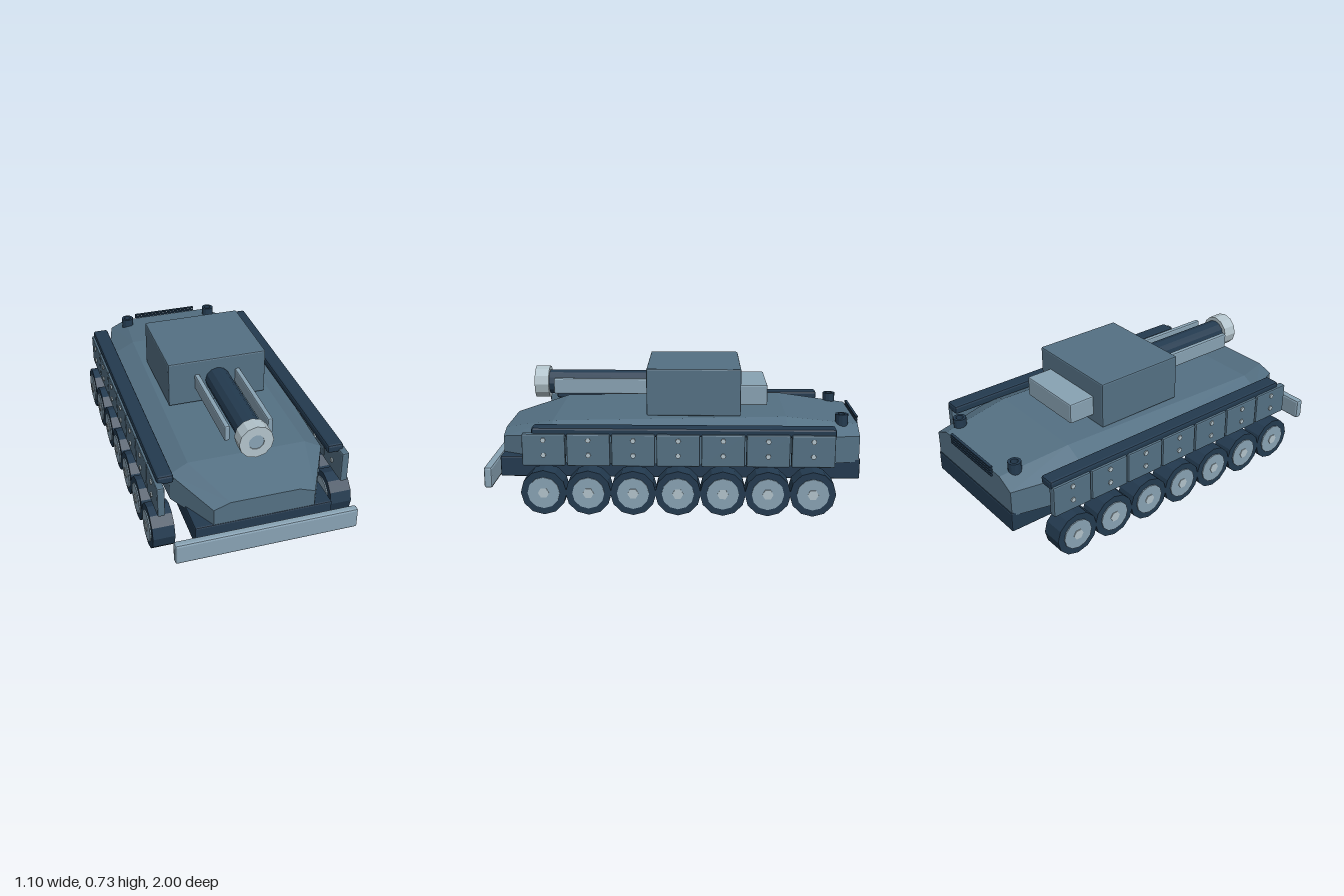
import * as THREE from 'three';
import { RoundedBoxGeometry } from 'three/addons/geometries/RoundedBoxGeometry.js';

const material = (name, color) => {
  const m = new THREE.MeshStandardMaterial({ color });
  m.name = name;
  return m;
};

// Give every face its own normal for a faceted look
function faceted(geo) {
  const g = geo.index ? geo.toNonIndexed() : geo;
  g.computeVertexNormals();
  return g;
}

// Hull from six-sided cross-sections: [z, bottomY, sideX, sideY, topX, topY]
function loft(sections) {
  const rings = sections.map(([z, yb, ws, ys, wt, yt]) => [
    [-ws, yb, z], [ws, yb, z], [ws, ys, z], [wt, yt, z], [-wt, yt, z], [-ws, ys, z],
  ]);
  const pos = [];
  const tri = (...pts) => pts.forEach((p) => pos.push(...p));
  for (let s = 0; s < rings.length - 1; s++) {
    const f = rings[s], b = rings[s + 1];
    for (let i = 0; i < 6; i++) {
      const j = (i + 1) % 6;
      tri(f[i], b[j], f[j]);
      tri(f[i], b[i], b[j]);
    }
  }
  const first = rings[0], last = rings[rings.length - 1];
  for (let i = 1; i < 5; i++) {
    tri(first[0], first[i], first[i + 1]);
    tri(last[0], last[i + 1], last[i]);
  }
  const g = new THREE.BufferGeometry();
  g.setAttribute('position', new THREE.Float32BufferAttribute(pos, 3));
  g.computeVertexNormals();
  return g;
}

export function createModel() {
  const model = new THREE.Group();
  model.name = 'tank';
  const armor = material('armor blue grey', 0x547083);
  const navy = material('dark navy', 0x233a4f);
  const steel = material('light steel', 0x88a2b3);
  const pale = material('pale steel', 0xb2c3cb);

  const add = (name, geo, mat, x = 0, y = 0, z = 0, parent = model) => {
    const m = new THREE.Mesh(faceted(geo), mat);
    m.name = name;
    m.position.set(x, y, z);
    parent.add(m);
    return m;
  };
  // Bevelled box given by its extents
  const box = (name, mat, [x0, x1], [y0, y1], [z0, z1], bevel = 0.008) =>
    add(name, new RoundedBoxGeometry(x1 - x0, y1 - y0, z1 - z0, 1, bevel), mat,
      (x0 + x1) / 2, (y0 + y1) / 2, (z0 + z1) / 2);
  const mirrored = (side, a, b) => (side > 0 ? [a, b] : [-b, -a]);
  const axleX = (r, len, sides) => new THREE.CylinderGeometry(r, r, len, sides).rotateZ(Math.PI / 2);
  const axleZ = (r, len, sides) => new THREE.CylinderGeometry(r, r, len, sides).rotateX(Math.PI / 2);
  // Open-ended tube with thick walls, along y
  const pipe = (rOut, rIn, len, sides) => new THREE.LatheGeometry(
    [[rIn, -len / 2], [rOut, -len / 2], [rOut, len / 2], [rIn, len / 2], [rIn, -len / 2]]
      .map(([r, y]) => new THREE.Vector2(r, y)), sides);

  // Hull
  add('upperHull', loft([
    [0.93, 0.245, 0.265, 0.35, 0.18, 0.38],
    [0.65, 0.245, 0.41, 0.40, 0.315, 0.452],
    [-0.6, 0.245, 0.45, 0.40, 0.30, 0.477],
    [-0.988, 0.245, 0.355, 0.385, 0.26, 0.43],
  ]), armor);
  box('lowerHull', navy, [-0.36, 0.36], [0.15, 0.263], [-0.994, 0.934]);
  box('bumper', steel, [-0.48, 0.48], [0.12, 0.235], [0.957, 1.0], 0.012);

  // Turret and rear stowage box
  box('turret', armor, [-0.275, 0.275], [0.47, 0.727], [-0.358, 0.15]);
  box('stowageBox', steel, [-0.195, 0.195], [0.512, 0.625], [-0.505, -0.35]);

  // Gun
  add('barrel', axleZ(0.068, 0.6, 12), navy, 0, 0.6, 0.43);
  add('muzzle', pipe(0.09, 0.041, 0.078, 12).rotateX(Math.PI / 2), pale, 0, 0.6, 0.744);
  add('bore', axleZ(0.042, 0.07, 12), steel, 0, 0.6, 0.744);

  const pitch = 0.2335;
  for (const side of [1, -1]) {
    box('gunRail', steel, mirrored(side, 0.1, 0.128), [0.556, 0.643], [0.14, 0.67], 0.008);
    box('fender', navy, mirrored(side, 0.41, 0.497), [0.41, 0.458], [-0.845, 0.738], 0.012);

    // Exhaust stack with dark opening
    add('exhaust', pipe(0.035, 0.02, 0.09, 12), navy, side * 0.265, 0.442, -0.9);

    for (let i = 0; i < 7; i++) {
      const z = 0.674 - i * pitch;

      // Road wheel
      const wheel = new THREE.Group();
      wheel.name = 'roadWheel';
      wheel.position.set(side * 0.482, 0.12, z);
      model.add(wheel);
      add('tyre', axleX(0.12, 0.116, 12), navy, 0, 0, 0, wheel);
      add('hub', axleX(0.084, 0.128, 12), steel, 0, 0, 0, wheel);
      add('hubCap', axleX(0.029, 0.136, 6), pale, 0, 0, 0, wheel);

      // Skirt panel with two rivets
      box('skirtPanel', armor, mirrored(side, 0.47, 0.51), [0.255, 0.428], [z - 0.113, z + 0.113]);
      for (const y of [0.315, 0.395])
        add('rivet', axleX(0.014, 0.054, 6), pale, side * 0.49, y, z);
    }
  }

  // Rear grille bars
  for (let i = 0; i < 4; i++)
    add('grilleBar', new THREE.BoxGeometry(0.39, 0.008, 0.014), navy, 0, 0.452 - i * 0.016, -0.992);

  return model;
}
